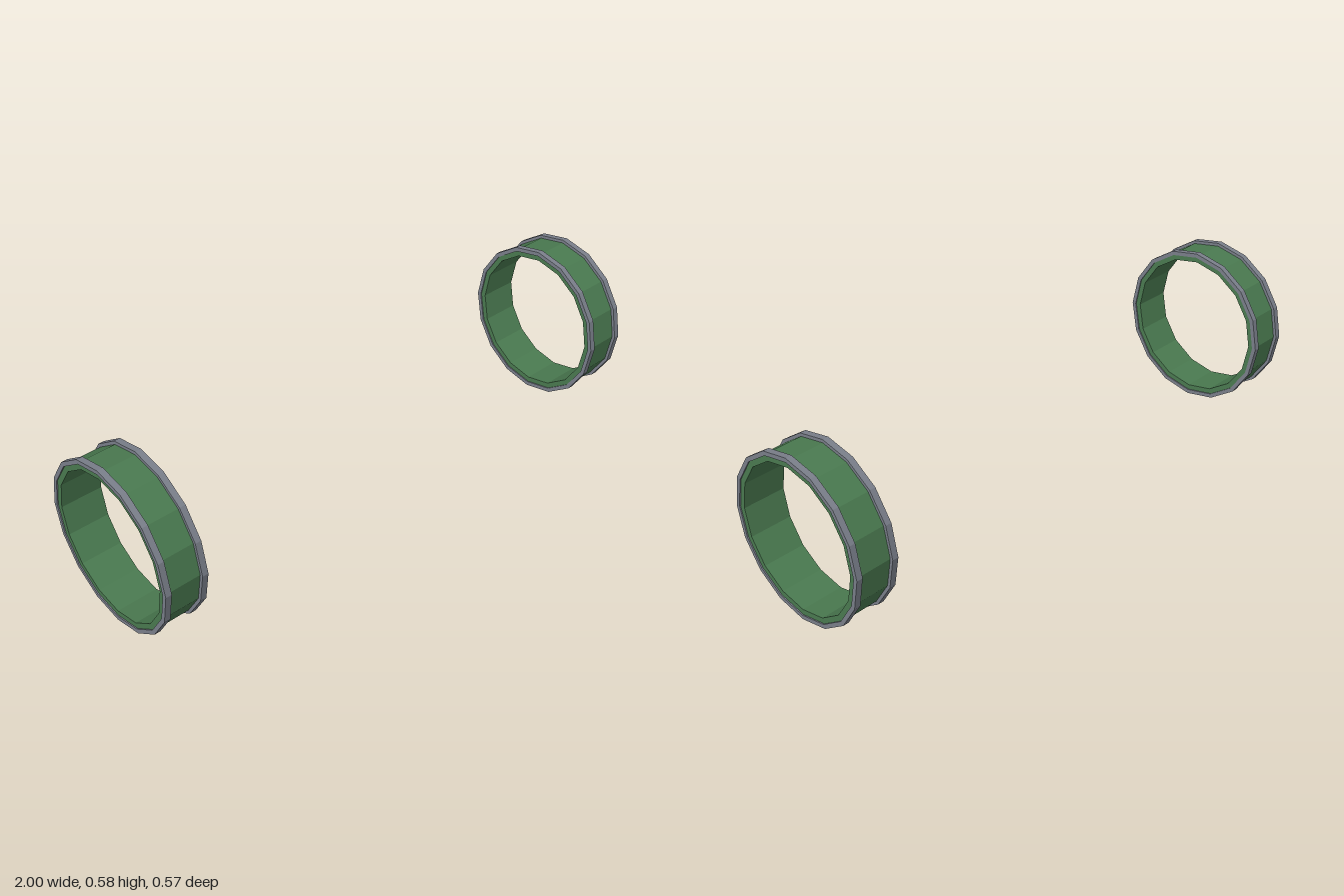
import * as THREE from 'three';

const SIDES = 16;
const green = new THREE.MeshStandardMaterial({ color: 0x4a7a50, flatShading: true });
const grey = new THREE.MeshStandardMaterial({ color: 0x7a7f8a, flatShading: true });

// Faceted ring of rectangular section about the x axis, flattened in z
function ring(name, inner, outer, x0, x1, squash, material) {
  const profile = [[outer, x0], [outer, x1], [inner, x1], [inner, x0], [outer, x0]]
    .map(([r, x]) => new THREE.Vector2(r, x));
  const geometry = new THREE.LatheGeometry(profile, SIDES);
  geometry.rotateZ(-Math.PI / 2).scale(1, 1, squash);
  const mesh = new THREE.Mesh(geometry, material);
  mesh.name = name;
  return mesh;
}

// Green band with a raised grey rim along each edge
function cuff(name, { width, radius, depth, position }) {
  const group = new THREE.Group();
  group.name = name;
  const squash = depth / radius, half = width / 2, rim = 0.021, inset = 0.004;
  group.add(
    ring('band', radius - 0.034, radius - 0.011, -half + inset, half - inset, squash, green),
    ring('outerRim', radius - 0.0148, radius, -half, -half + rim, squash, grey),
    ring('innerRim', radius - 0.0148, radius, half - rim, half, squash, grey)
  );
  group.position.set(...position);
  return group;
}

export function createModel() {
  const model = new THREE.Group();
  model.name = 'pairOfCuffs';
  model.add(
    cuff('rightCuff', { width: 0.15, radius: 0.288, depth: 0.284, position: [-0.925, 0.288, 0] }),
    cuff('leftCuff', { width: 0.153, radius: 0.284, depth: 0.273, position: [0.9235, 0.286, 0.011] })
  );
  return model;
}
